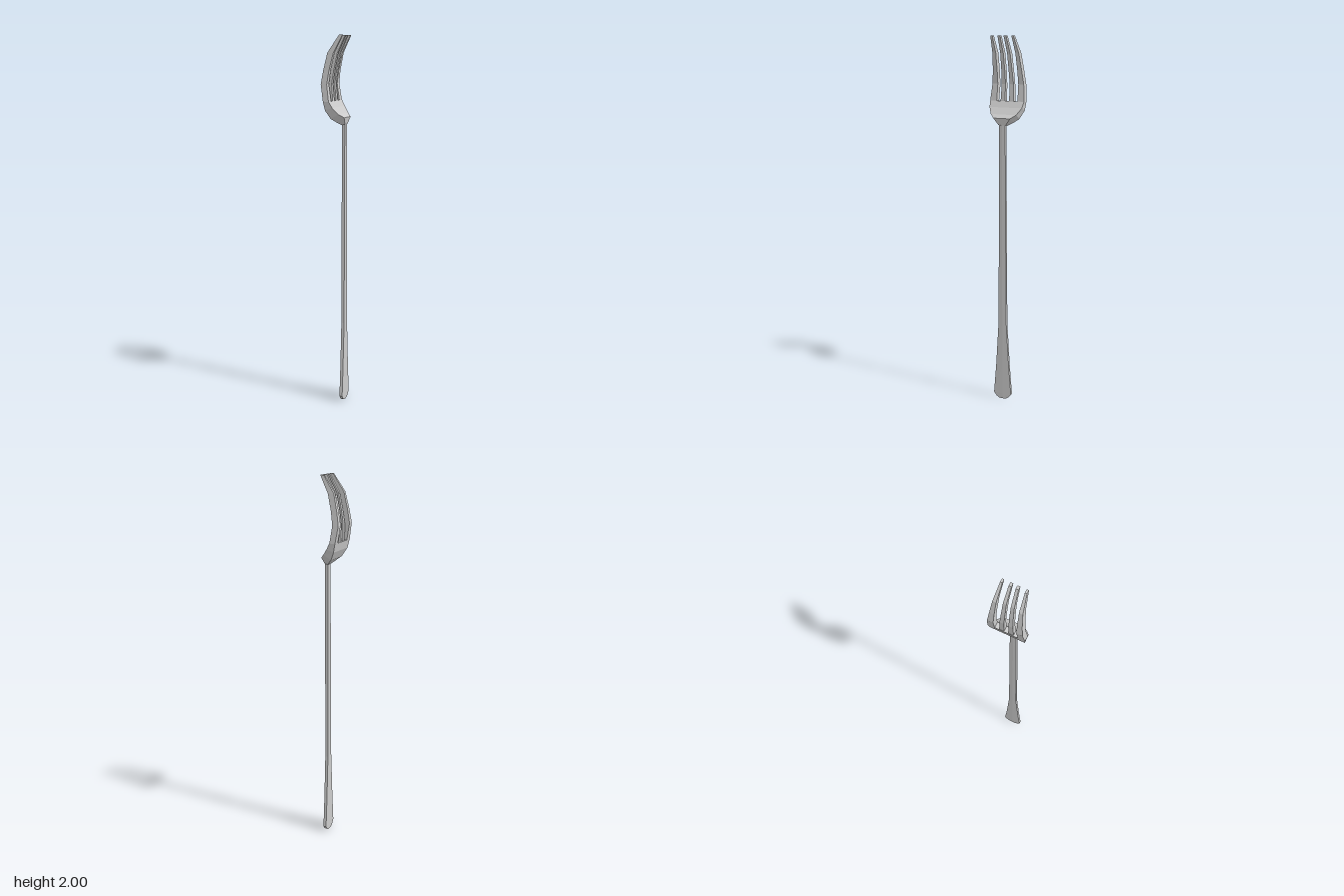
import * as THREE from 'three';

const material = new THREE.MeshStandardMaterial({ color: 0xcccccc, flatShading: true });

// Lofts a flat bar upward through rows. Each row gives its back and front edge
// as [x, y] and the z positions of its columns; crown thickens the middle.
function bar(name, rows, crown = 0) {
  const n = rows[0].z.length, ring = 2 * n, pos = [], index = [];
  const quad = (a, b, c, d) => index.push(a, b, c, a, c, d);
  const swell = (i) => (i > 0 && i < n - 1 ? crown : 0);
  for (const { back, front, z } of rows) {
    for (let i = n - 1; i >= 0; i--) pos.push(front[0] + swell(i), front[1], z[i]);
    for (let i = 0; i < n; i++) pos.push(back[0] - swell(i), back[1], z[i]);
  }
  for (let r = 0; r < rows.length - 1; r++) {
    for (let k = 0; k < ring; k++) {
      const a = r * ring + k, b = r * ring + (k + 1) % ring;
      quad(a, b, b + ring, a + ring);
    }
  }
  const top = (rows.length - 1) * ring;
  for (let i = 0; i < n - 1; i++) {
    quad(top + i, top + i + 1, top + ring - 2 - i, top + ring - 1 - i);
    quad(ring - 1 - i, ring - 2 - i, i + 1, i);
  }
  const geometry = new THREE.BufferGeometry();
  geometry.setAttribute('position', new THREE.Float32BufferAttribute(pos, 3));
  geometry.setIndex(index);
  const flat = geometry.toNonIndexed();
  flat.computeVertexNormals();
  const mesh = new THREE.Mesh(flat, material);
  mesh.name = name;
  return mesh;
}

export function createModel() {
  const fork = new THREE.Group();
  fork.name = 'fork';

  // Handle: slender, flaring to a clipped end, with a faint centre ridge
  const handle = [[0, 0.02], [0.012, 0.038], [0.03, 0.052], [0.2, 0.038], [0.45, 0.023], [1.0, 0.02], [1.56, 0.017]];
  fork.add(bar('handle', handle.map(([y, w]) => ({
    back: [0.032, y], front: [0.048, y], z: [-w, 0, w],
  })), 0.001));

  // Bowl: narrow at the neck, widening and sweeping back to the tine roots
  const bowl = [
    [[0.03, 1.537], [0.05, 1.542], 0.02],
    [[0.012, 1.553], [0.056, 1.578], 0.048],
    [[-0.01, 1.572], [0.033, 1.596], 0.073],
    [[-0.033, 1.615], [0.006, 1.63], 0.093],
    [[-0.043, 1.66], [-0.012, 1.662], 0.098],
  ];
  fork.add(bar('bowl', bowl.map(([back, front, w]) => ({
    back, front, z: [-w, -w / 2, 0, w / 2, w],
  }))));

  // Tines: [y, back x, front x, inner z, outer z], mirrored across z
  const tines = {
    outerTine: [
      [1.66, -0.043, -0.012, 0.06, 0.098], [1.75, -0.058, -0.025, 0.059, 0.09],
      [1.82, -0.047, -0.015, 0.058, 0.083], [1.91, -0.027, 0.006, 0.056, 0.075],
      [2, 0.033, 0.052, 0.054, 0.065],
    ],
    innerTine: [
      [1.66, -0.04, -0.012, 0.012, 0.037], [1.75, -0.042, -0.02, 0.012, 0.034],
      [1.82, -0.033, -0.009, 0.011, 0.031], [1.91, -0.016, 0.01, 0.011, 0.028],
      [2, 0.033, 0.052, 0.01, 0.024],
    ],
  };
  for (const [name, rows] of Object.entries(tines)) {
    for (const side of [-1, 1]) {
      fork.add(bar(name, rows.map(([y, back, front, a, b]) => ({
        back: [back, y], front: [front, y], z: side > 0 ? [a, b] : [-b, -a],
      }))));
    }
  }
  return fork;
}
